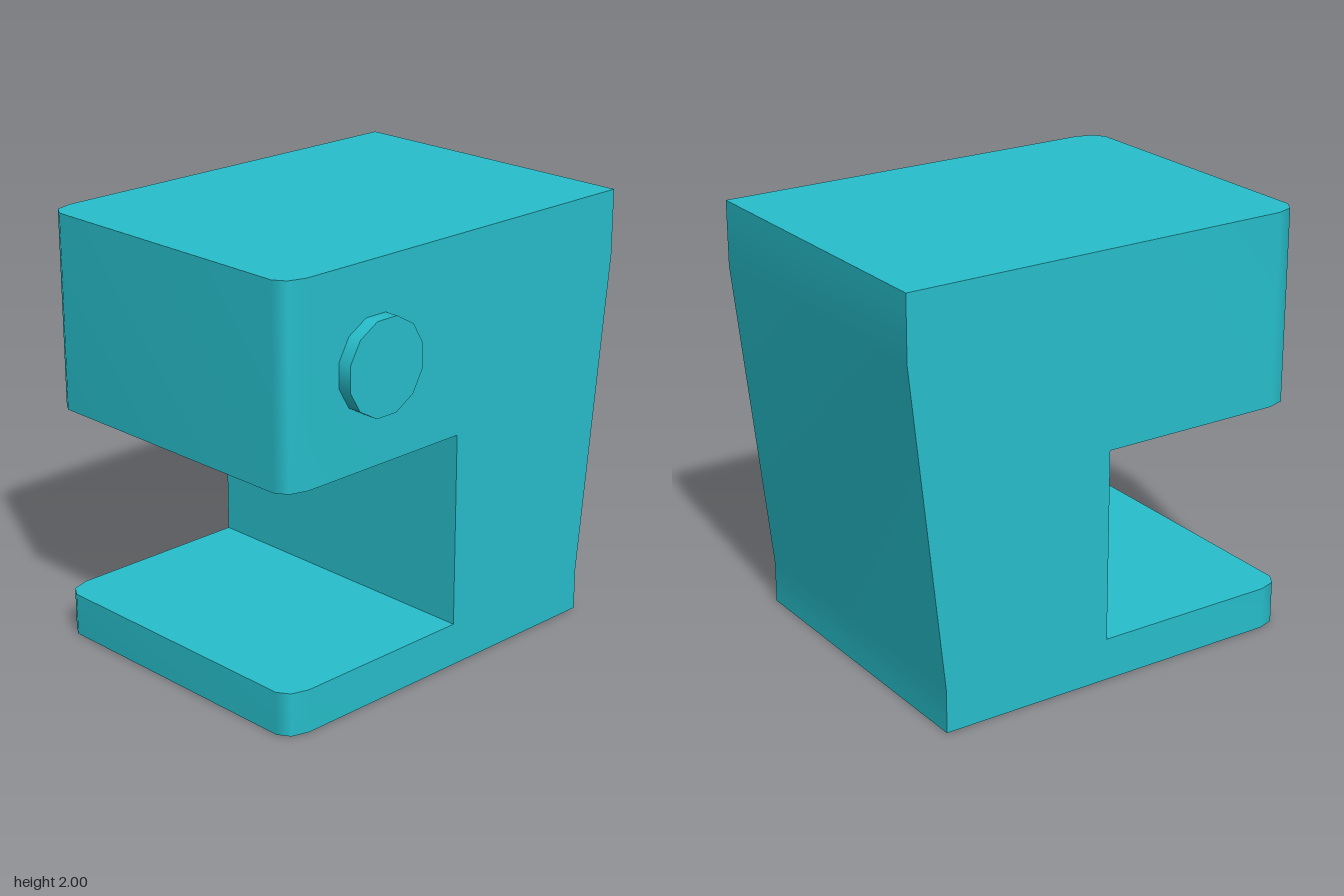
import * as THREE from 'three';

const XL = 0.715, XR = -0.78;            // side walls of the body
const material = new THREE.MeshStandardMaterial({ color: 0x27bfcc, side: THREE.DoubleSide });

function part(name, geometry, parent) {
  const mesh = new THREE.Mesh(geometry, material);
  mesh.name = name;
  parent.add(mesh);
  return mesh;
}

// Smooth strip of quads between two rows of [x, y, z] points
function strip(a, b) {
  const n = a.length, index = [];
  for (let i = 0; i < n - 1; i++) {
    index.push(i + 1, i, n + i + 1, i, n + i, n + i + 1);
  }
  const g = new THREE.BufferGeometry();
  g.setAttribute('position', new THREE.Float32BufferAttribute([...a, ...b].flat(), 3));
  g.setIndex(index);
  g.computeVertexNormals();
  return g;
}

// Flat horizontal panel from an [x, z] outline, facing up or down
function panel(outline, y, up = true) {
  const s = up ? -1 : 1;
  const shape = new THREE.Shape(outline.map(([x, z]) => new THREE.Vector2(x, s * z)));
  return new THREE.ShapeGeometry(shape).rotateX(s * Math.PI / 2).translate(0, y, 0);
}

export function createModel() {
  const model = new THREE.Group();
  model.name = 'coffeeMachine';

  // Plan of the front half: straight sides with clipped round corners
  const corner = [[0, 0.885], [0.025, 0.965], [0.08, 1]];
  const front = [
    [XL, 0],
    ...corner.map(([d, z]) => [XL - d, z]),
    ...[...corner].reverse().map(([d, z]) => [XR + d, z]),
    [XR, 0],
  ];
  const wall = (y0, y1) => strip(front.map(([x, z]) => [x, y0, z]), front.map(([x, z]) => [x, y1, z]));

  // Overhanging head
  const head = new THREE.Group();
  head.name = 'head';
  model.add(head);
  part('headWall', wall(1.1, 2), head);
  part('headUnderside', panel(front, 1.1, false), head);
  part('topPanel', panel([...front, [XR, -1], [XL, -1]], 2), head);

  // Base tray, open underneath
  const base = new THREE.Group();
  base.name = 'base';
  model.add(base);
  part('baseWall', wall(0, 0.2), base);
  part('baseTop', panel(front, 0.2), base);

  // Hollow rear column with a back that leans outwards
  const column = new THREE.Group();
  column.name = 'column';
  model.add(column);
  const back = [[0, -0.835], [0.2, -0.835], [1.7, -1], [2, -1]];
  const backRow = x => back.map(([y, z]) => [x, y, z]);
  const frontRow = x => back.map(([y]) => [x, y, 0]);
  part('backPanel', strip(backRow(XL), backRow(XR)), column);
  part('leftSide', strip(frontRow(XL), backRow(XL)), column);
  part('rightSide', strip(backRow(XR), frontRow(XR)), column);
  part('recessWall', strip([[XL, 0.2, 0], [XR, 0.2, 0]], [[XL, 1.1, 0], [XR, 1.1, 0]]), column);

  // Twelve-sided spout and side knob
  const disc = h => new THREE.CylinderGeometry(0.217, 0.217, h, 12, 1, false, Math.PI / 12);
  part('spout', disc(0.12), model).position.set(-0.03, 1.04, 0.45);
  const knob = part('knob', disc(0.065), model);
  knob.rotation.z = -Math.PI / 2;
  knob.position.set(0.7475, 1.55, 0.5);

  return model;
}
